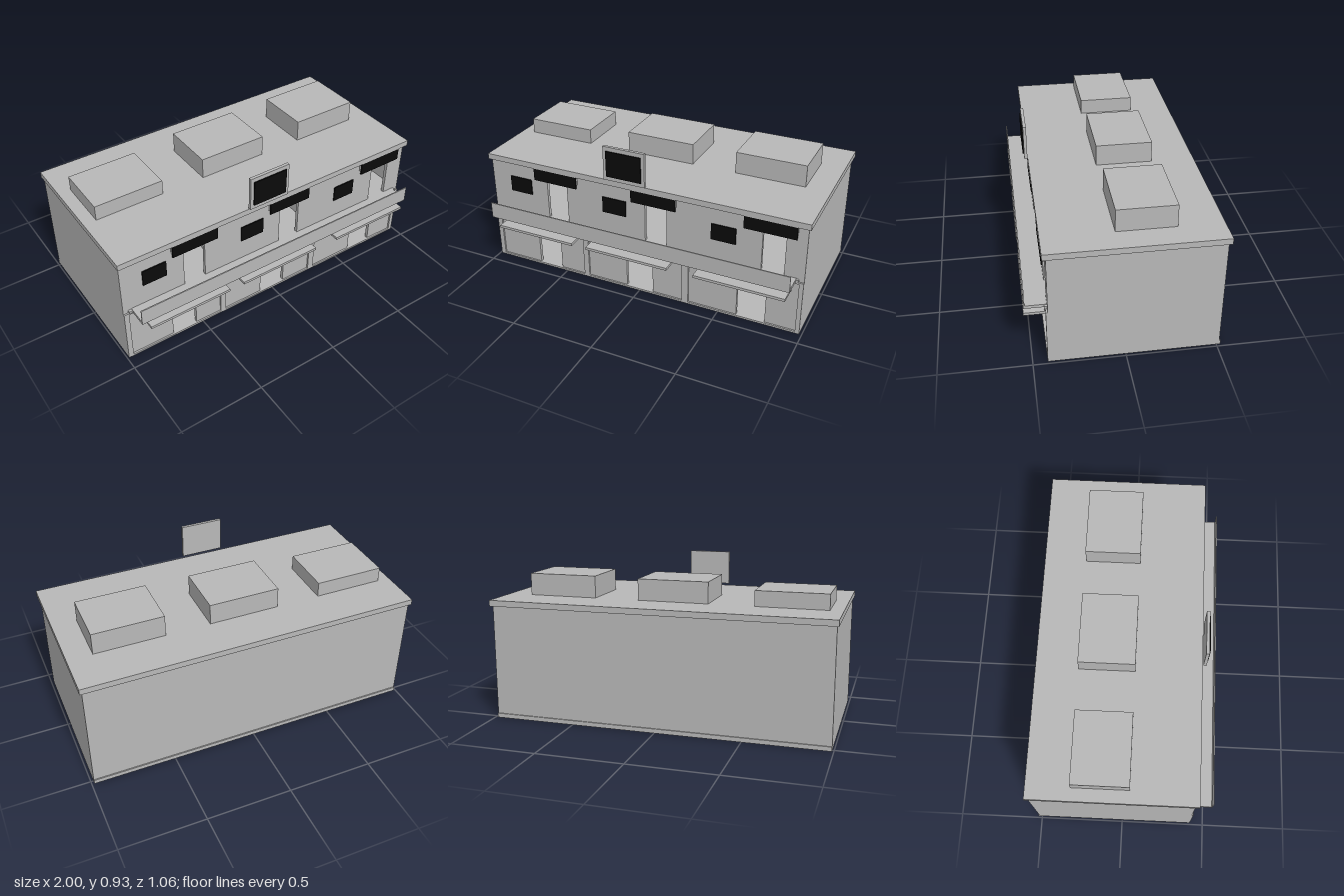
import * as THREE from 'three';

const concrete = new THREE.MeshStandardMaterial({ color: 0xb8b8b8 });
concrete.name = 'concreteGrey';
const black = new THREE.MeshStandardMaterial({ color: 0x0a0a0a });
black.name = 'signBlack';

export function createModel() {
  const model = new THREE.Group();
  model.name = 'shopRow';

  // Box given by its minimum and maximum on each axis
  function block(name, x0, x1, y0, y1, z0, z1, material = concrete) {
    const mesh = new THREE.Mesh(new THREE.BoxGeometry(x1 - x0, y1 - y0, z1 - z0), material);
    mesh.position.set((x0 + x1) / 2, (y0 + y1) / 2, (z0 + z1) / 2);
    mesh.name = name;
    model.add(mesh);
    return mesh;
  }

  // One entry per shop: ground bay, doors, awning, signs and roof box
  const shops = [
    { bay: [-0.96, -0.375], door: [-0.695, -0.54], upper: [-0.605, -0.47], awning: [-0.89, -0.385],
      sign: [-0.68, -0.395], panel: [-0.86, -0.715, 0.485], roof: [-0.925, -0.51, 0.80] },
    { bay: [-0.34, 0.275], door: [-0.085, 0.085], upper: [0.04, 0.175], awning: [-0.29, 0.23],
      sign: [-0.04, 0.235], panel: [-0.23, -0.08, 0.485], roof: [-0.245, 0.175, 0.835] },
    { bay: [0.315, 0.96], door: [0.61, 0.78], upper: [0.74, 0.87], awning: [0.39, 0.92],
      sign: [0.635, 0.93], panel: [0.445, 0.59, 0.475], roof: [0.44, 0.855, 0.84] },
  ];

  function rectangle(path, x0, x1, y0, y1) {
    path.moveTo(x0, y0);
    path.lineTo(x1, y0);
    path.lineTo(x1, y1);
    path.lineTo(x0, y1);
    path.closePath();
    return path;
  }

  function wall(name, outline, holes, z0, z1) {
    const shape = rectangle(new THREE.Shape(), ...outline);
    for (const h of holes) shape.holes.push(rectangle(new THREE.Path(), ...h));
    const geometry = new THREE.ExtrudeGeometry(shape, { depth: z1 - z0, bevelEnabled: false });
    const mesh = new THREE.Mesh(geometry, concrete);
    mesh.position.z = z0;
    mesh.name = name;
    model.add(mesh);
  }

  // Hollow building shell with floors and party walls
  block('groundFloor', -0.99, 0.985, 0, 0.01, -0.515, 0.415);
  block('upperFloor', -0.97, 0.965, 0.335, 0.355, -0.495, 0.39);
  block('backWall', -0.99, 0.985, 0.01, 0.68, -0.515, -0.495);
  block('backPlinth', -0.99, 0.985, 0, 0.025, -0.522, -0.515);
  block('leftWall', 0.965, 0.985, 0.01, 0.68, -0.495, 0.41);
  block('rightWall', -0.99, -0.97, 0.01, 0.68, -0.495, 0.41);
  for (const x of [-0.357, 0.295]) block('partyWall', x - 0.01, x + 0.01, 0.01, 0.68, -0.495, 0.39);

  // Front wall with ground and balcony doors
  const doors = shops.flatMap((s) => [
    [...s.door, 0.012, 0.275],
    [...s.upper, 0.355, 0.62],
  ]);
  wall('frontWall', [-0.97, 0.965, 0.01, 0.68], doors, 0.39, 0.41);

  // Raised frame round the ground floor bays
  wall('shopfrontFrame', [-0.99, 0.985, 0, 0.335],
    shops.map((s) => [...s.bay, 0.012, 0.325]), 0.41, 0.42);

  // Roof slab
  block('roofSlab', -1, 1, 0.675, 0.71, -0.53, 0.43);

  // Balcony with its parapet
  block('balconyFloor', -0.94, 0.94, 0.337, 0.355, 0.405, 0.53);
  block('balconyParapet', -0.94, 0.94, 0.337, 0.435, 0.524, 0.531);
  block('balconyLedge', -0.96, 0.955, 0.337, 0.352, 0.405, 0.425);

  for (const s of shops) {
    block('awning', ...s.awning, 0.275, 0.291, 0.405, 0.533);
    block('awningBracket', ...s.awning, 0.291, 0.335, 0.408, 0.422);
    block('shopSign', ...s.sign, 0.60, 0.675, 0.421, 0.43, black);
    block('signBacking', ...s.sign, 0.62, 0.675, 0.409, 0.421);
    const [x0, x1, y] = s.panel;
    block('darkPanel', x0, x1, y, y + 0.098, 0.409, 0.417, black);
    const [r0, r1, top] = s.roof;
    block('roofUnit', r0, r1, 0.705, top, -0.28, 0.045);
    // Low counter inside the shop
    block('counter', s.bay[0] + 0.05, s.bay[1] - 0.18, 0.01, 0.145, -0.49, -0.30);
  }

  // Ladder seen through the last doorway
  for (const x of [0.752, 0.776]) block('ladderRail', x - 0.002, x + 0.002, 0.01, 0.335, -0.24, -0.23);
  for (let i = 0; i < 10; i++) {
    const y = 0.03 + i * 0.03;
    block('ladderRung', 0.754, 0.774, y, y + 0.005, -0.24, -0.23);
  }

  // Upright sign over the roof edge
  block('roofSign', -0.195, 0.06, 0.72, 0.925, 0.432, 0.45);
  block('roofSignFace', -0.175, 0.04, 0.745, 0.90, 0.45, 0.457, black);

  return model;
}
